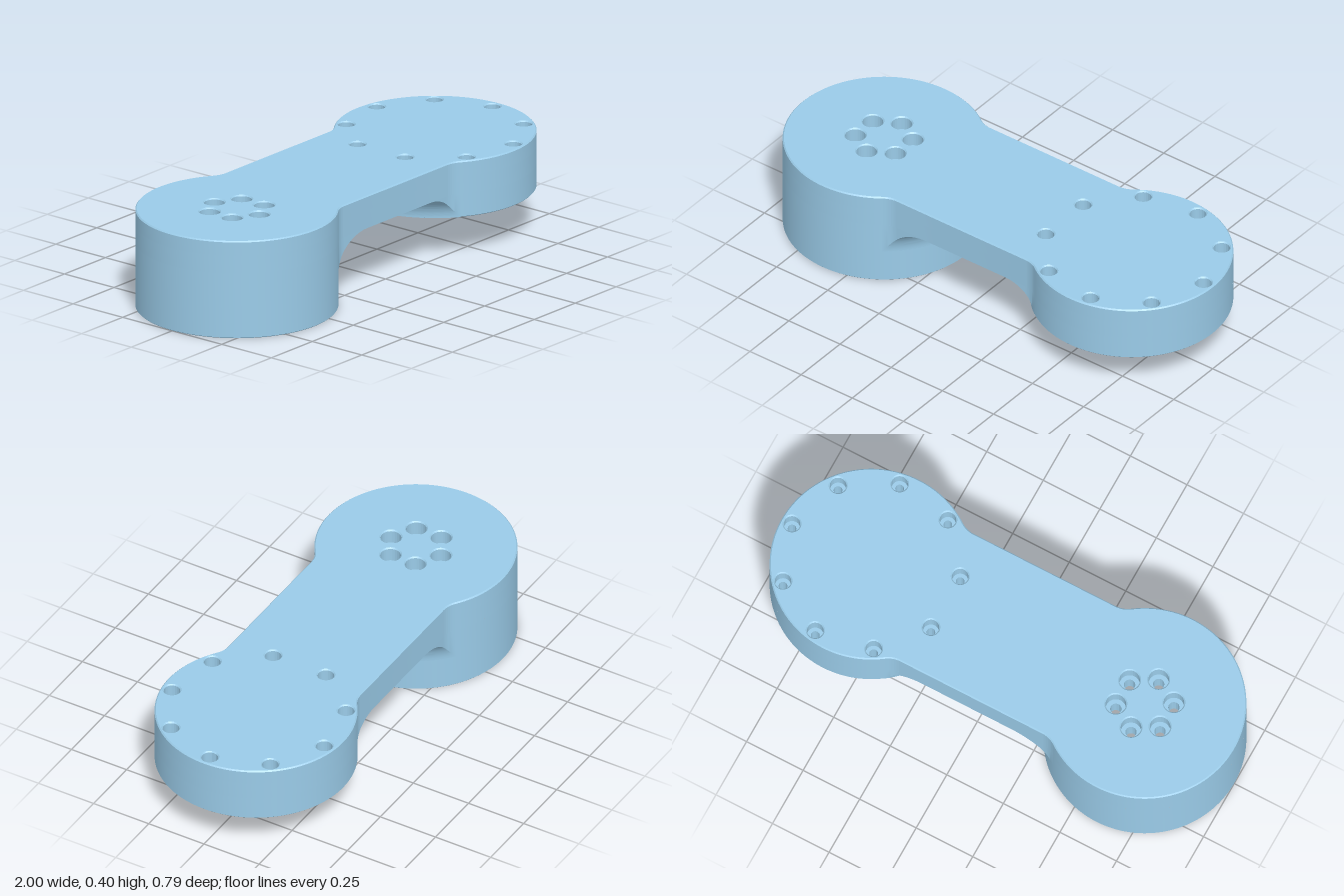
import * as THREE from 'three';
import { toCreasedNormals } from 'three/addons/utils/BufferGeometryUtils.js';

const CX = 0.605, R = 0.395;          // cup centres and outer radius
const HALF = 0.3, RF = 0.1;           // arm half width, plan fillet radius
const TOP = 0.4, UNDER = 0.267, STEP = 0.34, BEVEL = 0.005;
const D = R + RF, FZ = HALF + RF, FX = Math.sqrt(D * D - FZ * FZ);
const T = Math.atan2(FZ, FX), PI = Math.PI;

const material = new THREE.MeshStandardMaterial({ color: 0x9acbe8 });

function part(name, geometry, x = 0, y = 0) {
  const mesh = new THREE.Mesh(toCreasedNormals(geometry, 0.4), material);
  mesh.name = name;
  mesh.position.set(x, y, 0);
  return mesh;
}

// Flat shape pushed upwards
function slab(shape, depth, options = {}) {
  return new THREE.ExtrudeGeometry(shape, {
    depth, curveSegments: 48, bevelEnabled: false, ...options,
  }).rotateX(-PI / 2);
}

function circlePath(x, y, r) {
  const path = new THREE.Path();
  path.absarc(x, y, r, 0, PI * 2, true);
  return path;
}

// Two discs joined by a straight arm with rounded inner corners
function outline() {
  const s = new THREE.Shape(), fx = CX - FX;
  s.absarc(CX, 0, R, T - PI, PI - T, false);
  s.absarc(fx, FZ, RF, -T, -PI / 2, true);
  s.absarc(-fx, FZ, RF, -PI / 2, T - PI, true);
  s.absarc(-CX, 0, R, T, 2 * PI - T, false);
  s.absarc(-fx, -FZ, RF, PI - T, PI / 2, true);
  s.absarc(fx, -FZ, RF, PI / 2, T, true);
  s.closePath();
  return s;
}

// Bolt circles: six in the deep cup, nine in the shallow one
const bolts = [];
for (let i = 0; i < 6; i++) {
  const a = PI / 6 + i * PI / 3;
  bolts.push({ x: -CX + 0.113 * Math.cos(a), y: 0.113 * Math.sin(a), small: 0.022, big: 0.04 });
}
for (let i = 0; i < 9; i++) {
  const a = i * PI * 2 / 9;
  bolts.push({ x: CX + 0.35 * Math.cos(a), y: 0.35 * Math.sin(a), small: 0.017, big: 0.032 });
}

// Open tube wall of a cup
function cupWall(bottom, inner) {
  const c = 0.003;
  return new THREE.LatheGeometry([
    [inner, UNDER], [inner, bottom], [R - c, bottom], [R, bottom + c], [R, UNDER],
  ].map(p => new THREE.Vector2(...p)), 128);
}

// Half angle at which a circle of radius r leaves the arm's outline
function edgeAngle(r) {
  if (r * r >= (FX * FX + HALF * HALF)) return Math.asin(HALF / r);
  const c = (r * r + D * D - RF * RF) / (2 * r * D);
  return T - Math.acos(Math.min(1, c));
}

// Concave sweep from a cup wall to the underside of the arm, with its side walls
function blend(side, radius) {
  const rows = 24, cols = 40, pos = [], index = [];
  for (let i = 0; i <= rows; i++) {
    const phi = (i / rows) * PI / 2;
    const r = R + radius * (1 - Math.cos(phi));
    const y = UNDER - radius * (1 - Math.sin(phi));
    const a = edgeAngle(r);
    for (let j = -1; j <= cols + 1; j++) {
      const t = a * (2 * Math.min(cols, Math.max(0, j)) / cols - 1);
      const onSide = j < 0 || j > cols;
      pos.push(side * (CX - r * Math.cos(t)), onSide ? UNDER : y, r * Math.sin(t));
    }
  }
  const w = cols + 3;
  for (let i = 0; i < rows; i++) {
    for (let j = 0; j < w - 1; j++) {
      const a = i * w + j, b = a + w, c = a + 1, d = b + 1;
      if (side < 0) index.push(a, b, c, b, d, c);
      else index.push(a, c, b, b, c, d);
    }
  }
  const g = new THREE.BufferGeometry();
  g.setAttribute('position', new THREE.Float32BufferAttribute(pos, 3));
  g.setIndex(index);
  return g;
}

// Recessed bolt ring with a cable slot facing the arm
function boltRing() {
  const s = new THREE.Shape();
  s.absarc(CX, 0, R - 0.01, 0, PI * 2, false);
  const inner = 0.3, half = 0.065, a = Math.asin(half / inner);
  const bore = new THREE.Path();
  bore.absarc(CX, 0, inner, a - PI, PI - a, false);
  bore.lineTo(CX - 0.37, half);
  bore.lineTo(CX - 0.37, -half);
  bore.closePath();
  s.holes.push(bore);
  for (const b of bolts.slice(6)) s.holes.push(circlePath(b.x, b.y, b.small));
  return s;
}

export function createModel() {
  const group = new THREE.Group();
  group.name = 'linkArm';

  // Plate: lower layer has bolt holes, upper layer has the wider head recesses
  const lower = outline(), upper = outline();
  for (const b of bolts) {
    lower.holes.push(circlePath(b.x, b.y, b.small));
    upper.holes.push(circlePath(b.x, b.y, b.big));
  }
  group.add(part('armPlate', slab(lower, STEP - UNDER), 0, UNDER));
  group.add(part('topPlate', slab(upper, TOP - STEP - BEVEL, {
    bevelEnabled: true, bevelThickness: BEVEL, bevelSize: BEVEL, bevelOffset: -BEVEL, bevelSegments: 1,
  }), 0, STEP));

  // Cups and the sweeps that join them to the arm
  group.add(part('deepCup', cupWall(0, 0.378), -CX));
  group.add(part('shallowCup', cupWall(0.17, 0.375), CX));
  group.add(part('deepCupBlend', blend(-1, 0.13)));
  group.add(part('shallowCupBlend', blend(1, 0.097)));

  // Bolt ring inside the shallow cup
  group.add(part('boltRing', slab(boltRing(), UNDER - 0.192), 0, 0.192));
  return group;
}
